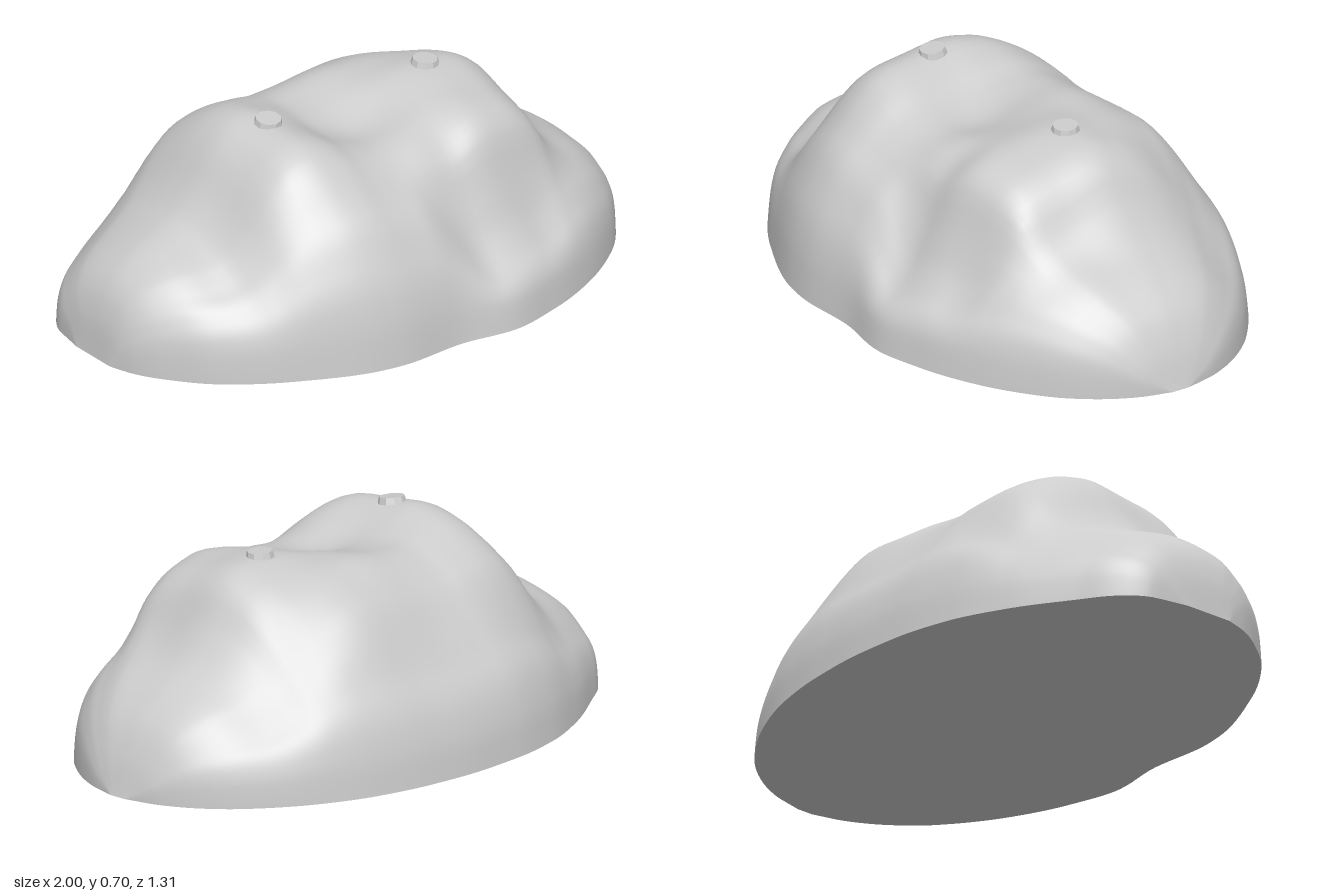
import * as THREE from 'three';

// Smooth interpolation through [x, value] pairs without overshoot
function profile(pts) {
  const slope = pts.slice(1).map((p, i) => (p[1] - pts[i][1]) / (p[0] - pts[i][0]));
  const tangent = pts.map((p, i) => {
    const a = slope[i - 1] ?? slope[i], b = slope[i] ?? slope[i - 1];
    return a * b > 0 ? (2 * a * b) / (a + b) : 0;
  });
  return (x) => {
    let i = 0;
    while (i < pts.length - 2 && x > pts[i + 1][0]) i++;
    const w = pts[i + 1][0] - pts[i][0];
    const t = Math.min(1, Math.max(0, (x - pts[i][0]) / w)), s = 1 - t;
    return pts[i][1] * s * s * (1 + 2 * t) + pts[i + 1][1] * t * t * (3 - 2 * t)
      + w * (tangent[i] * t * s * s - tangent[i + 1] * t * t * s);
  };
}

// Ridge height along x: low shoulder, two peaks with a saddle, falling end
const ridge = profile([
  [-1, 0], [-0.985, 0.12], [-0.95, 0.22], [-0.9, 0.28], [-0.8, 0.345], [-0.67, 0.4], [-0.6, 0.47],
  [-0.5, 0.61], [-0.42, 0.67], [-0.35, 0.685], [-0.25, 0.665], [-0.15, 0.63], [-0.05, 0.62],
  [0.12, 0.645], [0.3, 0.67], [0.42, 0.655], [0.53, 0.6], [0.6, 0.5], [0.7, 0.39],
  [0.82, 0.31], [0.9, 0.235], [0.96, 0.125], [1, 0],
]);
// Footprint depth behind and in front of the long axis
const backDepth = profile([
  [-1, 0.1], [-0.97, 0.24], [-0.9, 0.33], [-0.8, 0.4], [-0.6, 0.525], [-0.4, 0.61], [-0.2, 0.65],
  [0, 0.66], [0.2, 0.645], [0.4, 0.605], [0.6, 0.525], [0.8, 0.39], [0.9, 0.28], [0.97, 0.15], [1, 0.03],
]);
const frontDepth = profile([
  [-1, 0.08], [-0.97, 0.17], [-0.9, 0.28], [-0.8, 0.39], [-0.6, 0.52], [-0.3, 0.635], [-0.2, 0.645],
  [0, 0.632], [0.2, 0.655], [0.4, 0.61], [0.6, 0.525], [0.8, 0.385], [0.9, 0.27], [0.97, 0.14], [1, 0.03],
]);
// Relative height across the depth, -1 back to 1 front: a full front,
// and a steeper one that ends in a low foot
const back = [
  [-1, 0], [-0.975, 0.17], [-0.91, 0.36], [-0.8, 0.52], [-0.68, 0.68], [-0.55, 0.82],
  [-0.38, 0.91], [-0.2, 0.965], [0, 1],
];
const fullFront = profile([...back, [0.31, 0.965], [0.465, 0.92], [0.575, 0.84], [0.667, 0.75],
  [0.775, 0.64], [0.853, 0.52], [0.93, 0.37], [0.975, 0.2], [1, 0]]);
const steepFront = profile([...back, [0.3, 0.965], [0.45, 0.92], [0.57, 0.82], [0.66, 0.6],
  [0.76, 0.39], [0.85, 0.28], [0.94, 0.21], [0.975, 0.15], [1, 0]]);

// Hollows and swellings: x, z, radius along x, radius along z, relative amount
const bumps = [
  [0.02, 0.1, 0.22, 0.13, -0.08], [0.05, -0.22, 0.25, 0.14, 0.06],
  [-0.25, 0.5, 0.16, 0.13, 0.04], [0.17, 0.38, 0.09, 0.14, -0.06],
  [0.36, 0.54, 0.12, 0.08, 0.12], [-0.7, 0.3, 0.14, 0.16, -0.12],
  [-0.5, -0.47, 0.22, 0.07, -0.1], [0.55, -0.36, 0.19, 0.13, -0.14],
  [0.2, -0.42, 0.2, 0.08, 0.05], [0.62, 0.22, 0.09, 0.15, -0.08],
];

function height(x, z, v) {
  const top = ridge(x);
  const steep = THREE.MathUtils.smoothstep(x, -0.05, 0.2) * (1 - THREE.MathUtils.smoothstep(x, 0.4, 0.75));
  const shape = THREE.MathUtils.lerp(fullFront(v), steepFront(v), steep);
  let swell = 0.018 * Math.sin(9 * x + 5 * z) * Math.sin(11 * z - 4 * x + 1);
  for (const [bx, bz, rx, rz, amount] of bumps)
    swell += amount * Math.exp(-(((x - bx) / rx) ** 2) - ((z - bz) / rz) ** 2);
  return top * Math.pow(shape, 0.5 + 0.73 * top) * (1 + swell);
}

// Surface lofted from cross-sections along x; the flat version closes the underside
function loft(nx, nz, heightAt, flip) {
  const pos = [], index = [];
  for (let i = 0; i <= nx; i++) {
    const x = -Math.cos((Math.PI * i) / nx);
    for (let j = 0; j <= nz; j++) {
      const v = -Math.cos((Math.PI * j) / nz);
      const z = v * (v < 0 ? backDepth(x) : frontDepth(x));
      pos.push(x, heightAt(x, z, v), z);
      if (i < nx && j < nz) {
        const a = i * (nz + 1) + j, b = a + nz + 1;
        if (flip) index.push(a, b, a + 1, b, b + 1, a + 1);
        else index.push(a, a + 1, b, b, a + 1, b + 1);
      }
    }
  }
  const geo = new THREE.BufferGeometry();
  geo.setAttribute('position', new THREE.Float32BufferAttribute(pos, 3));
  geo.setIndex(index);
  geo.computeVertexNormals();
  return geo;
}

export function createModel() {
  const group = new THREE.Group();
  const material = new THREE.MeshStandardMaterial({ color: 0xcccccc, roughness: 0.9 });
  const add = (name, geo) => {
    const mesh = new THREE.Mesh(geo, material);
    mesh.name = name;
    group.add(mesh);
    return mesh;
  };

  add('rockBody', loft(110, 80, height, false));
  add('flatUnderside', loft(110, 2, () => 0, true));

  // Small flat studs set on the two peaks
  for (const [name, x, z, tiltX, tiltZ] of [
    ['rightStud', -0.345, 0.06, 0.15, 0.02],
    ['leftStud', 0.333, 0, 0.05, -0.05],
  ]) {
    const stud = add(name, new THREE.CylinderGeometry(0.042, 0.048, 0.022, 10).toNonIndexed());
    stud.geometry.computeVertexNormals();
    stud.position.set(x, height(x, z, z / frontDepth(x)) + 0.005, z);
    stud.rotation.set(tiltX, 0, tiltZ);
  }
  return group;
}
